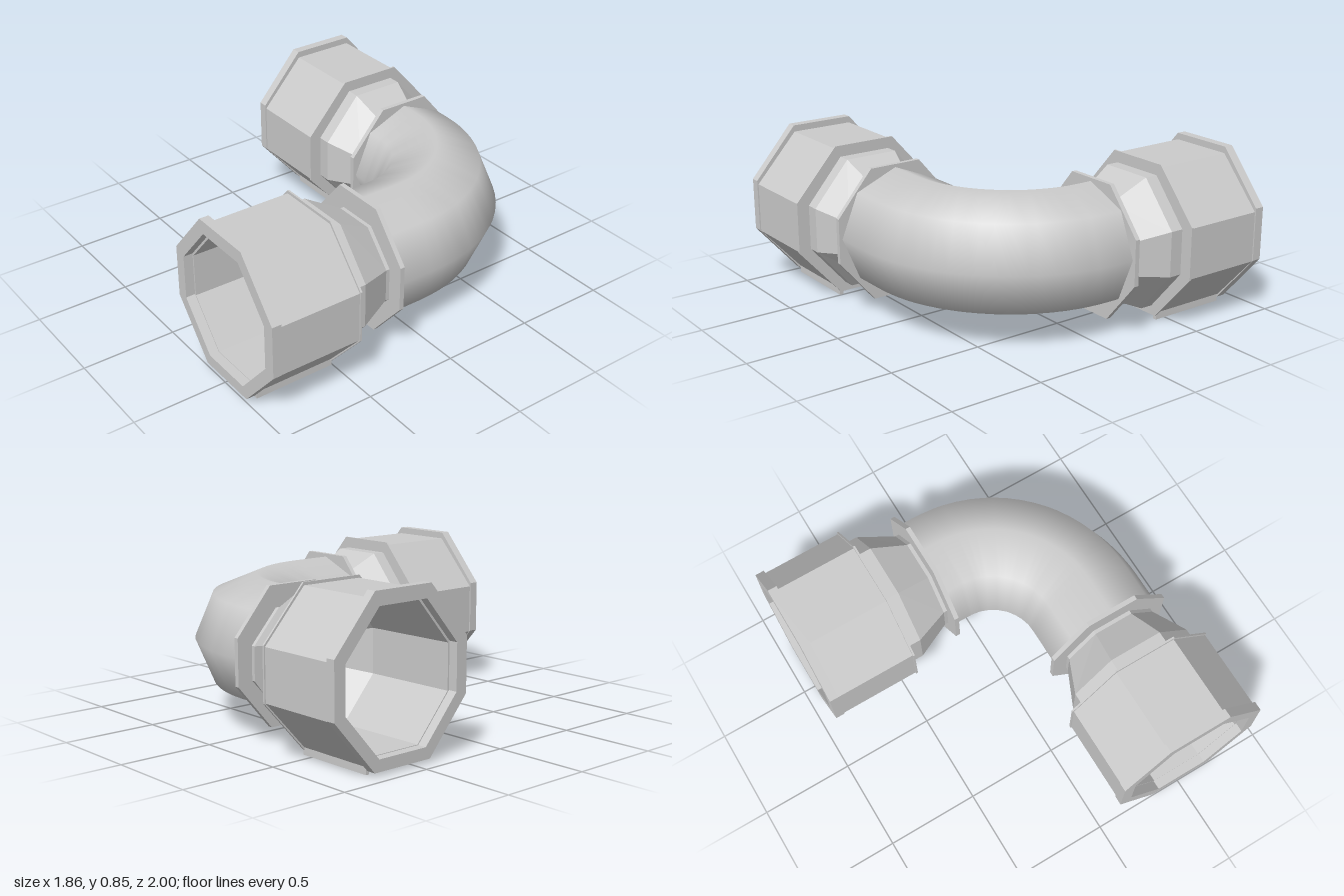
import * as THREE from 'three';

const grey = new THREE.MeshStandardMaterial({ color: 0xcccccc, side: THREE.DoubleSide });
const facetGrey = new THREE.MeshStandardMaterial({ color: 0xcccccc, side: THREE.DoubleSide, flatShading: true });

// corners of an octagon: half width, half height, vertical offset
function octagon([z, hx, hy, yo = 0]) {
  const fx = hx * 0.422, fy = hy * 0.34;
  return [[hx, -fy], [hx, fy], [fx, hy], [-fx, hy], [-hx, fy], [-hx, -fy], [-fx, -hy], [fx, -hy]]
    .map(([x, y]) => [x, y + yo, z]);
}

// skin joining octagonal sections in order
function loft(name, sections) {
  const rings = sections.map(octagon), pos = [];
  for (let i = 0; i + 1 < rings.length; i++) {
    for (let j = 0; j < 8; j++) {
      const k = (j + 1) % 8;
      const a = rings[i][j], b = rings[i][k], c = rings[i + 1][k], d = rings[i + 1][j];
      pos.push(...a, ...b, ...c, ...a, ...c, ...d);
    }
  }
  const geo = new THREE.BufferGeometry();
  geo.setAttribute('position', new THREE.Float32BufferAttribute(pos, 3));
  geo.computeVertexNormals();
  const mesh = new THREE.Mesh(geo, facetGrey);
  mesh.name = name;
  return mesh;
}

function box(name, w, h, d, x, y, z) {
  const mesh = new THREE.Mesh(new THREE.BoxGeometry(w, h, d), facetGrey);
  mesh.position.set(x, y, z);
  mesh.name = name;
  return mesh;
}

// coupling pointing along +z: collar, tapered neck and hollow socket
function createCoupling(name) {
  const g = new THREE.Group();
  g.name = name;
  g.add(loft('collar', [
    [0.195, 0.25, 0.25, -0.025], [0.195, 0.343, 0.353, -0.012], [0.22, 0.343, 0.353, -0.012],
    [0.22, 0.25, 0.25, -0.025], [0.195, 0.25, 0.25, -0.025],
  ]));
  g.add(loft('neck', [
    [0.215, 0.26, 0.255, -0.025], [0.24, 0.26, 0.255, -0.025], [0.43, 0.345, 0.35, -0.015],
    [0.5, 0.345, 0.35, -0.015],
  ]));
  g.add(loft('socket', [
    [0.5, 0.345, 0.35, -0.015], [0.5, 0.412, 0.405, -0.01], [0.51, 0.412, 0.405, -0.01],
    [0.51, 0.405, 0.3925, -0.0125], [0.95, 0.405, 0.3925, -0.0125], [0.95, 0.412, 0.415],
    [1, 0.412, 0.415], [1, 0.347, 0.35, -0.005], [0.95, 0.347, 0.35, -0.005],
    [0.95, 0.338, 0.342, -0.01], [0.43, 0.338, 0.342, -0.015], [0.24, 0.252, 0.248, -0.025],
    [0.215, 0.252, 0.248, -0.025],
  ]));
  for (const s of [-1, 1]) g.add(box('bottomRail', 0.02, 0.045, 0.44, s * 0.168, -0.4125, 0.725));
  g.add(box('innerLip', 0.16, 0.025, 0.03, 0, -0.272, 0.23));
  return g;
}

// centreline of the bend: straight, quarter turn, straight
function bendPath() {
  const path = new THREE.CurvePath();
  const pts = [], y = 0.435, r = 0.575, cx = -0.06, cz = -0.013, n = 14;
  pts.push([0.515, 0.2], [0.515, 0.1]);
  for (let i = 0; i <= n; i++) {
    const a = (i / n) * Math.PI / 2;
    pts.push([cx + r * Math.cos(a), cz - r * Math.sin(a)]);
  }
  pts.push([-0.135, -0.588]);
  const v = pts.map(([x, z]) => new THREE.Vector3(x, y, z));
  for (let i = 0; i + 1 < v.length; i++) path.add(new THREE.LineCurve3(v[i], v[i + 1]));
  return path;
}

export function createModel() {
  const model = new THREE.Group();
  model.name = 'pipeElbow';

  // eight-sided smooth bend
  const bend = new THREE.Mesh(new THREE.TubeGeometry(bendPath(), 24, 0.325, 8, false), grey);
  bend.name = 'bend';
  model.add(bend);

  const front = createCoupling('frontCoupling');
  front.position.set(0.515, 0.435, 0);
  model.add(front);

  const side = createCoupling('sideCoupling');
  side.rotation.y = -Math.PI / 2;
  side.position.set(0.065, 0.435, -0.588);
  model.add(side);

  return model;
}
